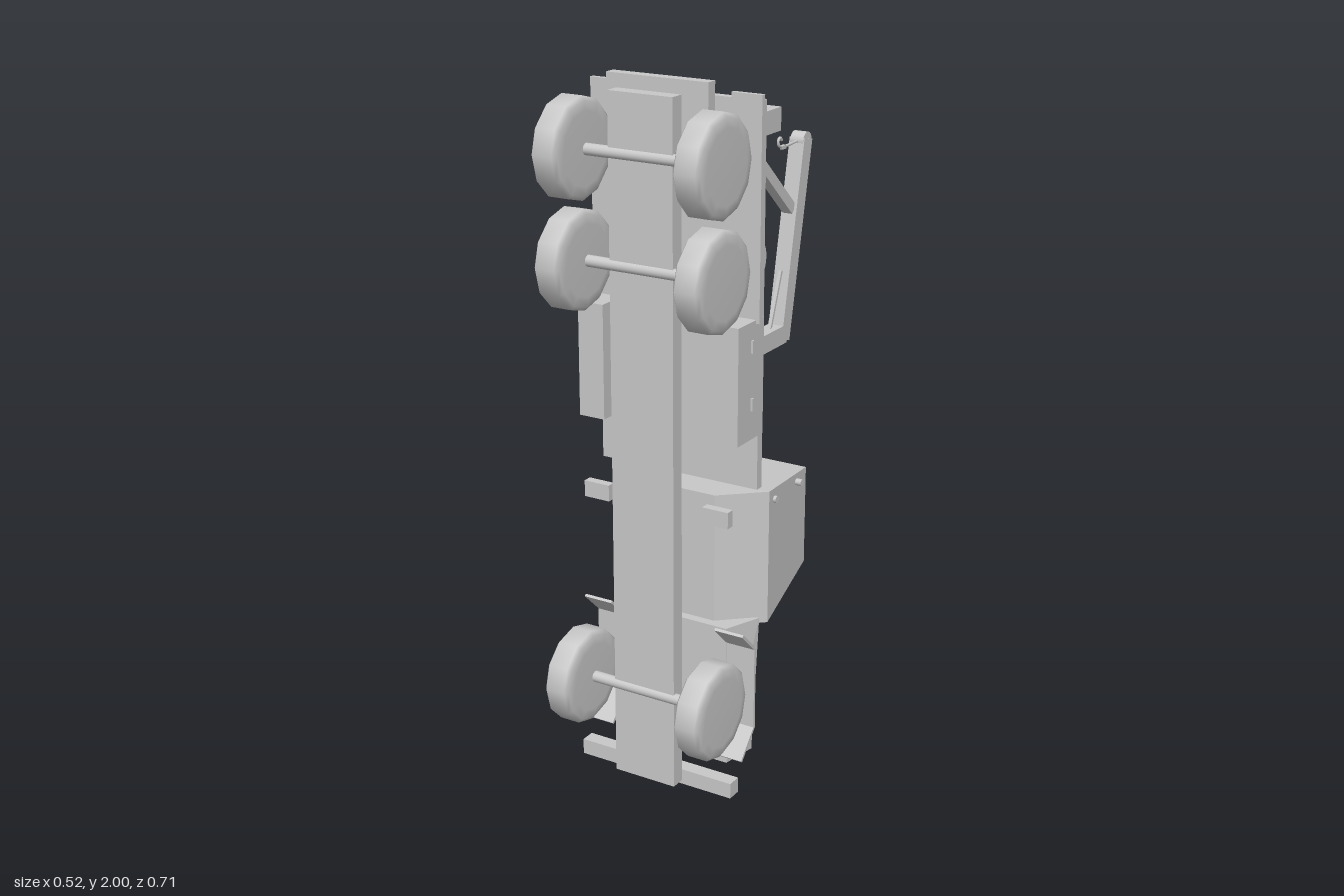
import * as THREE from 'three';
import { ConvexGeometry } from 'three/addons/geometries/ConvexGeometry.js';

export function createModel() {
  const model = new THREE.Group();
  const grey = new THREE.MeshStandardMaterial({ color: 0xc8c8c8 });
  grey.name = 'plainGrey';

  function add(name, geometry) {
    const mesh = new THREE.Mesh(geometry, grey);
    mesh.name = name;
    model.add(mesh);
    return mesh;
  }
  // Box given by its limits on each axis
  function box(name, x0, x1, y0, y1, z0, z1) {
    const m = add(name, new THREE.BoxGeometry(Math.abs(x1 - x0), y1 - y0, z1 - z0));
    m.position.set((x0 + x1) / 2, (y0 + y1) / 2, (z0 + z1) / 2);
    return m;
  }
  // Square beam between two points given as [y, z]
  function beam(name, x, a, b, width, depth) {
    const dy = b[0] - a[0], dz = b[1] - a[1];
    const m = add(name, new THREE.BoxGeometry(width, Math.hypot(dy, dz), depth));
    m.position.set(x, (a[0] + b[0]) / 2, (a[1] + b[1]) / 2);
    m.rotation.x = Math.atan2(dz, dy);
    return m;
  }
  // Cylinder lying along x
  function barrel(name, x, y, z, r, length, sides = 24) {
    const m = add(name, new THREE.CylinderGeometry(r, r, length, sides));
    m.rotation.z = Math.PI / 2;
    m.position.set(x, y, z);
    return m;
  }
  // Hull of points mirrored over x
  function hull(name, points) {
    const all = points.flatMap(([x, y, z]) => [new THREE.Vector3(x, y, z), new THREE.Vector3(-x, y, z)]);
    return add(name, new ConvexGeometry(all));
  }

  // Tyre with softly domed sides
  const tyre = new THREE.LatheGeometry(
    [[0, -0.042], [0.1, -0.042], [0.126, -0.039], [0.138, -0.03],
      [0.138, 0.03], [0.126, 0.039], [0.1, 0.042], [0, 0.042]].map(p => new THREE.Vector2(...p)), 12);
  function wheel(name, x, y, z) {
    const m = add(name, tyre);
    m.rotation.z = Math.PI / 2;
    m.position.set(x, y, z);
  }

  // Frame, bed and bumpers
  box('chassis', -0.097, 0.097, 0.02, 1.97, 0.184, 0.227);
  box('bed', -0.25, 0.248, 0.89, 1.947, 0.016, 0.041);
  box('frontBumper', -0.248, 0.248, 0, 0.046, 0.128, 0.171);
  box('rearBumper', -0.153, 0.153, 1.893, 2, 0.113, 0.147);

  // Cab with chamfered sides and a narrower roof
  hull('cab', [
    [0.2, 0.527, -0.335], [0.2, 0.822, -0.335],
    [0.23, 0.447, -0.063], [0.23, 0.845, -0.063],
    [0.115, 0.447, 0.04], [0.115, 0.845, 0.04]]);
  // Tapered hood
  hull('hood', [
    [0.215, 0.465, -0.042], [0.17, 0.465, 0.068],
    [0.195, 0.042, -0.042], [0.175, 0.042, 0.068]]);

  // Axles and road wheels
  for (const y of [0.294, 1.513, 1.81]) {
    barrel('axle', 0, y, 0.219, 0.016, 0.36);
    for (const s of [-1, 1]) wheel('wheel', s * 0.211, y, 0.221);
  }

  // Spare wheel and its mount
  wheel('spareWheel', -0.209, 1.027, -0.132);
  box('spareMount', -0.19, -0.145, 1.0, 1.055, -0.135, 0.016);

  for (const s of [-1, 1]) {
    // Fenders
    box('rearFender', s * 0.17, s * 0.26, 1.365, 1.965, 0.047, 0.061);
    const f = s * 0.215;
    beam('frontFender', f, [0.175, 0.06], [0.425, 0.06], 0.09, 0.008);
    beam('frontFenderFlare', f, [0.423, 0.06], [0.49, 0.13], 0.09, 0.008);
    beam('frontFenderFlare', f, [0.177, 0.06], [0.1, 0.13], 0.09, 0.008);

    // Toolboxes with handles, steps
    box('toolbox', s * 0.17, s * 0.25, 1.048, 1.375, 0.018, 0.153);
    for (const y of [1.13, 1.29]) box('toolboxHandle', s * 0.249, s * 0.256, y, y + 0.035, 0.078, 0.086);
    box('step', s * 0.15, s * 0.23, 0.815, 0.862, 0.14, 0.166);

    // Cab side knobs and headlights
    for (const z of [-0.247, -0.1]) barrel('cabKnob', s * 0.226, 0.81, z, 0.01, 0.018, 12);
    add('headlight', new THREE.CylinderGeometry(0.016, 0.016, 0.014, 16)).position.set(s * 0.14, 0.037, 0);

    // Winch drum
    barrel('winchDrum', s * 0.12, 1.482, -0.096, 0.069, 0.067, 32);

    // Crane: stand, base arm, boom and braces
    const x = s * 0.167;
    box('craneStand', s * 0.16, s * 0.21, 1.837, 1.9, -0.132, 0.016);
    box('craneBase', x - 0.023, x + 0.023, 1.228, 1.28, -0.22, 0.016);
    beam('craneBoom', x, [1.235, -0.215], [1.78, -0.326], 0.046, 0.046);
    beam('craneBrace', x, [1.825, -0.005], [1.595, -0.265], 0.03, 0.03);
    beam('craneStrut', x, [1.28, -0.165], [1.43, -0.222], 0.01, 0.008);
    barrel('craneTip', x, 1.773, -0.325, 0.025, 0.04, 20);

    // Cable and hook
    const path = [[1.775, -0.31], [1.772, -0.24], [1.772, -0.222], [1.78, -0.2],
      [1.794, -0.197], [1.8, -0.207], [1.792, -0.215]];
    const curve = new THREE.CatmullRomCurve3(path.map(([y, z]) => new THREE.Vector3(x, y, z)));
    add('cableHook', new THREE.TubeGeometry(curve, 32, 0.004, 8));
    beam('hookBlock', x, [1.772, -0.235], [1.772, -0.215], 0.01, 0.01);
  }
  return model;
}
